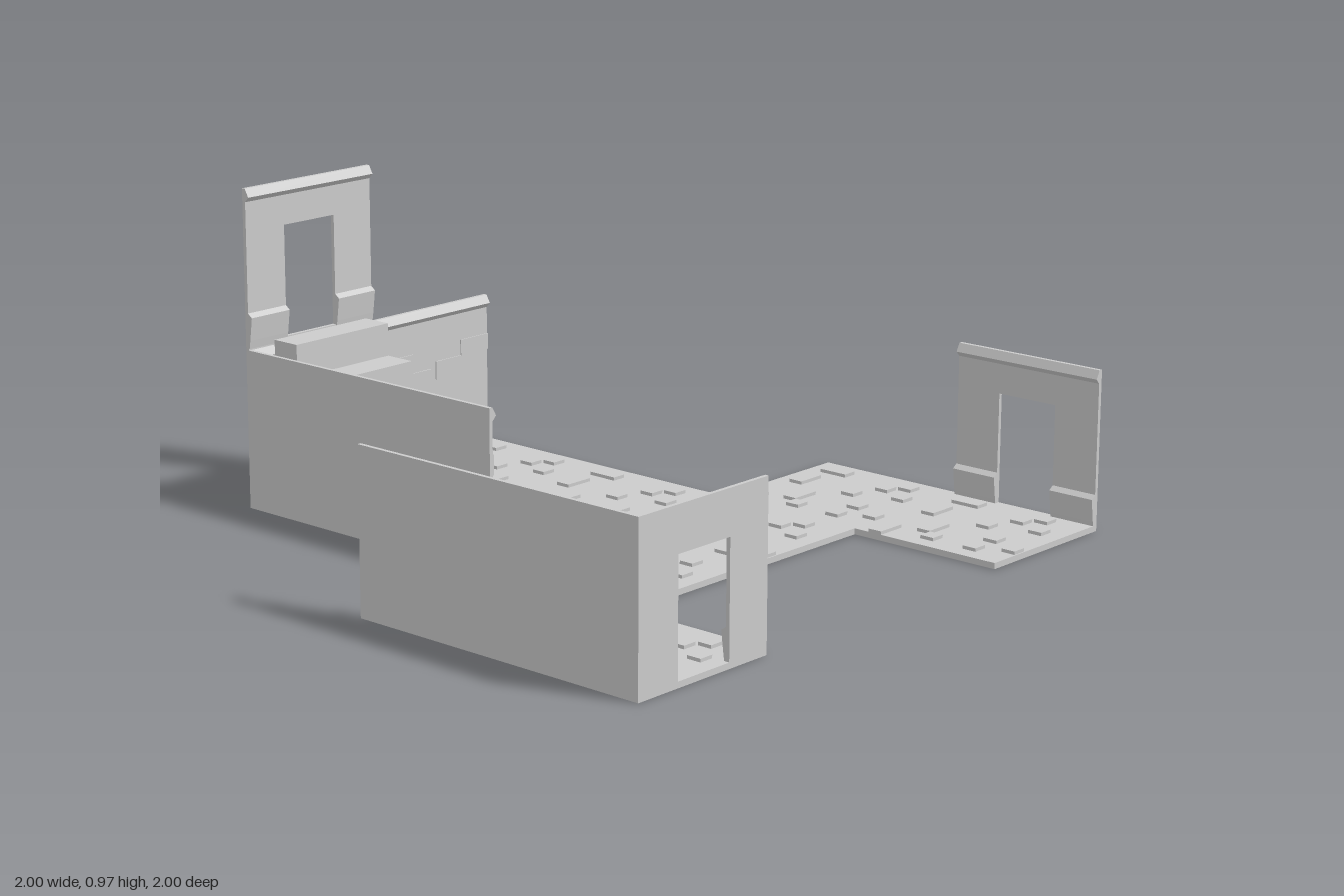
import * as THREE from 'three';

const material = new THREE.MeshStandardMaterial({ color: 0xcccccc, flatShading: true });
const WALL_H = 0.485, WALL_T = 0.012, TILE = 0.5, FLOOR_T = 0.018;

function addMesh(parent, name, geometry) {
  const mesh = new THREE.Mesh(geometry, material);
  mesh.name = name;
  parent.add(mesh);
  return mesh;
}

// Box given by its two opposite corners
function addBox(parent, name, [x0, y0, z0], [x1, y1, z1]) {
  const box = addMesh(parent, name, new THREE.BoxGeometry(x1 - x0, y1 - y0, z1 - z0));
  box.position.set((x0 + x1) / 2, (y0 + y1) / 2, (z0 + z1) / 2);
  return box;
}

// Profile of [depth, height] points swept along x from u0 to u1
function sweep(profile, u0, u1) {
  const shape = new THREE.Shape(profile.map(([d, y]) => new THREE.Vector2(-d, y)));
  return new THREE.ExtrudeGeometry(shape, { depth: u1 - u0, bevelEnabled: false })
    .rotateY(Math.PI / 2).translate(u0, 0, 0);
}

const BASEBOARD = [[0.002, 0.005], [0.015, 0.005], [0.019, 0.03], [0.028, 0.1], [0.012, 0.112], [0.002, 0.112]];
const CORNICE = [[0, 0.445], [0.012, 0.445], [0.026, 0.46], [0.012, WALL_H], [0, WALL_H]];

// Raised bricks on each half-unit of plain wall: u0, u1, y0, y1
const BRICKS = [[0, 0.17, 0.29, 0.35], [0.1, 0.25, 0.23, 0.29], [0.27, 0.42, 0.25, 0.31], [0.38, 0.5, 0.31, 0.36]];

// Wall runs along local x, with its decorated side facing local +z
function makeWall(name, length, hasDoor) {
  const wall = new THREE.Group();
  wall.name = name;
  const shape = new THREE.Shape([[0, 0], [length, 0], [length, WALL_H], [0, WALL_H]]
    .map(p => new THREE.Vector2(...p)));
  if (hasDoor) {
    shape.holes.push(new THREE.Path([[0.15, FLOOR_T], [0.15, 0.355], [0.35, 0.355], [0.35, FLOOR_T]]
      .map(p => new THREE.Vector2(...p))));
  }
  addMesh(wall, 'panel', new THREE.ExtrudeGeometry(shape, { depth: WALL_T, bevelEnabled: false }));
  addMesh(wall, 'cornice', sweep(CORNICE, 0, length));
  const runs = hasDoor ? [[0, 0.15], [0.35, length]] : [[0, length]];
  for (const [a, b] of runs) addMesh(wall, 'baseboard', sweep(BASEBOARD, a, b));
  if (!hasDoor) {
    for (let u = 0; u < length; u += TILE) {
      for (const [u0, u1, y0, y1] of BRICKS) {
        addBox(wall, 'brick', [u + u0, y0, WALL_T / 2], [u + u1, y1, WALL_T + 0.004]);
      }
    }
  }
  return wall;
}

// Raised paving stones of one tile: x, z, width, depth
const S = 0.046, L = 0.096;
const STONES = [
  [0, 0.05, L, S], [0.25, 0.05, L, S], [0.4, 0.05, S, L], [0.1, 0.15, L, S],
  [0.05, 0.2, S, S], [0.25, 0.25, S, S], [0.35, 0.3, S, S], [0.05, 0.35, S, S],
  [0.15, 0.35, S, S], [0.4, 0.35, S, S], [0.3, 0.4, S, S], [0.1, 0.45, S, S],
];

function makeTile(x, z) {
  const tile = new THREE.Group();
  tile.name = 'floorTile';
  tile.position.set(x, 0, z);
  addBox(tile, 'slab', [0, 0, 0], [TILE, FLOOR_T, TILE]);
  for (const [u, v, w, d] of STONES) {
    addBox(tile, 'pavingStone', [u, FLOOR_T / 2, v], [u + w, 0.028, v + d]);
  }
  return tile;
}

// Five solid steps rising toward the back
function makeStairs() {
  const points = [[0.43, 0.01]];
  for (let i = 0; i < 5; i++) {
    const y = 0.12 + i * 0.1;
    points.push([0.43 + i * 0.1, y], [i === 4 ? 0.925 : 0.53 + i * 0.1, y]);
  }
  points.push([0.925, 0.01]);
  const geometry = sweep(points.map(([d, y]) => [-d, y]), -0.455, -0.085);
  const stairs = new THREE.Group();
  stairs.name = 'stairs';
  addMesh(stairs, 'steps', geometry);
  return stairs;
}

export function createModel() {
  const model = new THREE.Group();
  model.name = 'dungeonRooms';

  // Floor: back room, cross corridor and two front wings
  const tiles = [
    [-0.5, -1], [0, -1], [-0.5, -0.5], [0, -0.5],
    [-1, 0], [-0.5, 0], [0, 0], [0.5, 0], [-1, 0.5], [0.5, 0.5],
  ];
  for (const [x, z] of tiles) model.add(makeTile(x, z));

  // Walls: name, length, door, position, turn
  const q = Math.PI / 2;
  const walls = [
    ['backWall', 1, false, [-0.5, 0, -1], 0],
    ['backRoomSideWall', 1, false, [-0.5, 0, 0], q],
    ['wingSideWall', 1, false, [-1, 0, 1], q],
    ['frontDoorWall', 0.5, true, [-0.5, 0, 1], 2 * q],
    ['sideDoorWall', 0.5, true, [1, 0, 0.5], -q],
    ['upperDoorWall', 0.5, true, [-0.5, WALL_H, -1], 0],
  ];
  for (const [name, length, door, position, turn] of walls) {
    const wall = makeWall(name, length, door);
    wall.position.set(...position);
    wall.rotation.y = turn;
    model.add(wall);
  }

  model.add(makeStairs());
  return model;
}
